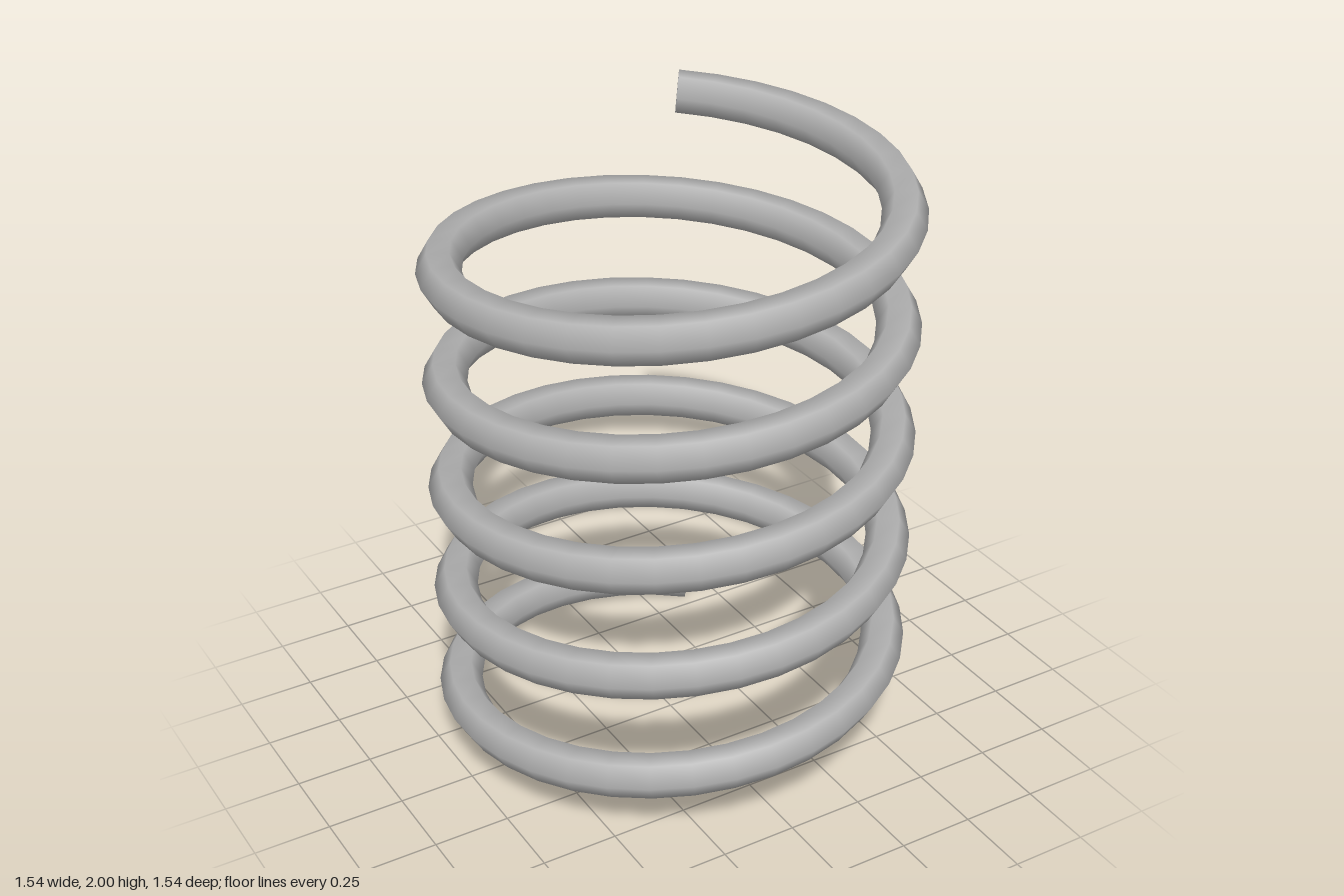
import * as THREE from 'three';

const COIL_R = 0.7, WIRE_R = 0.07, SIDES = 6, SEGMENTS = 180;
const START = THREE.MathUtils.degToRad(54.3);
const END = THREE.MathUtils.degToRad(57.5 + 5 * 360);
const Y0 = 0.0606, Y1 = 1.9394;

// Hexagonal wire swept along a helix, with a flat cap at each end
function coilGeometry() {
  const positions = [], normals = [], index = [];
  const slope = (Y1 - Y0) / (END - START) / COIL_R;

  const frame = (t) => {
    const a = START + (END - START) * t;
    const radial = new THREE.Vector3(Math.cos(a), 0, -Math.sin(a));
    const tangent = new THREE.Vector3(-Math.sin(a), slope, -Math.cos(a)).normalize();
    const up = radial.clone().cross(tangent);
    const center = radial.clone().multiplyScalar(COIL_R).setY(Y0 + (Y1 - Y0) * t);
    return { radial, tangent, up, center };
  };

  // One hexagon of vertices; a fixed normal makes it a cap ring
  const addRing = (f, capNormal) => {
    const first = positions.length / 3;
    for (let j = 0; j < SIDES; j++) {
      const p = (j / SIDES) * Math.PI * 2;
      const out = f.radial.clone().multiplyScalar(Math.cos(p)).addScaledVector(f.up, Math.sin(p));
      positions.push(...f.center.clone().addScaledVector(out, WIRE_R).toArray());
      normals.push(...(capNormal || out).toArray());
    }
    return first;
  };

  // Wire surface
  for (let i = 0; i <= SEGMENTS; i++) {
    const a = addRing(frame(i / SEGMENTS));
    if (i === 0) continue;
    const b = a - SIDES;
    for (let j = 0; j < SIDES; j++) {
      const k = (j + 1) % SIDES;
      index.push(b + j, a + j, b + k, b + k, a + j, a + k);
    }
  }

  // End caps
  const f0 = frame(0), f1 = frame(1);
  const s = addRing(f0, f0.tangent.clone().negate());
  const e = addRing(f1, f1.tangent);
  for (let j = 1; j < SIDES - 1; j++) {
    index.push(s, s + j, s + j + 1, e, e + j + 1, e + j);
  }

  const g = new THREE.BufferGeometry();
  g.setAttribute('position', new THREE.Float32BufferAttribute(positions, 3));
  g.setAttribute('normal', new THREE.Float32BufferAttribute(normals, 3));
  g.setIndex(index);
  return g;
}

export function createModel() {
  const group = new THREE.Group();
  group.name = 'coilSpring';
  const steel = new THREE.MeshStandardMaterial({ color: 0xb0b0b0 });
  steel.name = 'steelGrey';
  const coil = new THREE.Mesh(coilGeometry(), steel);
  coil.name = 'coil';
  group.add(coil);
  return group;
}
